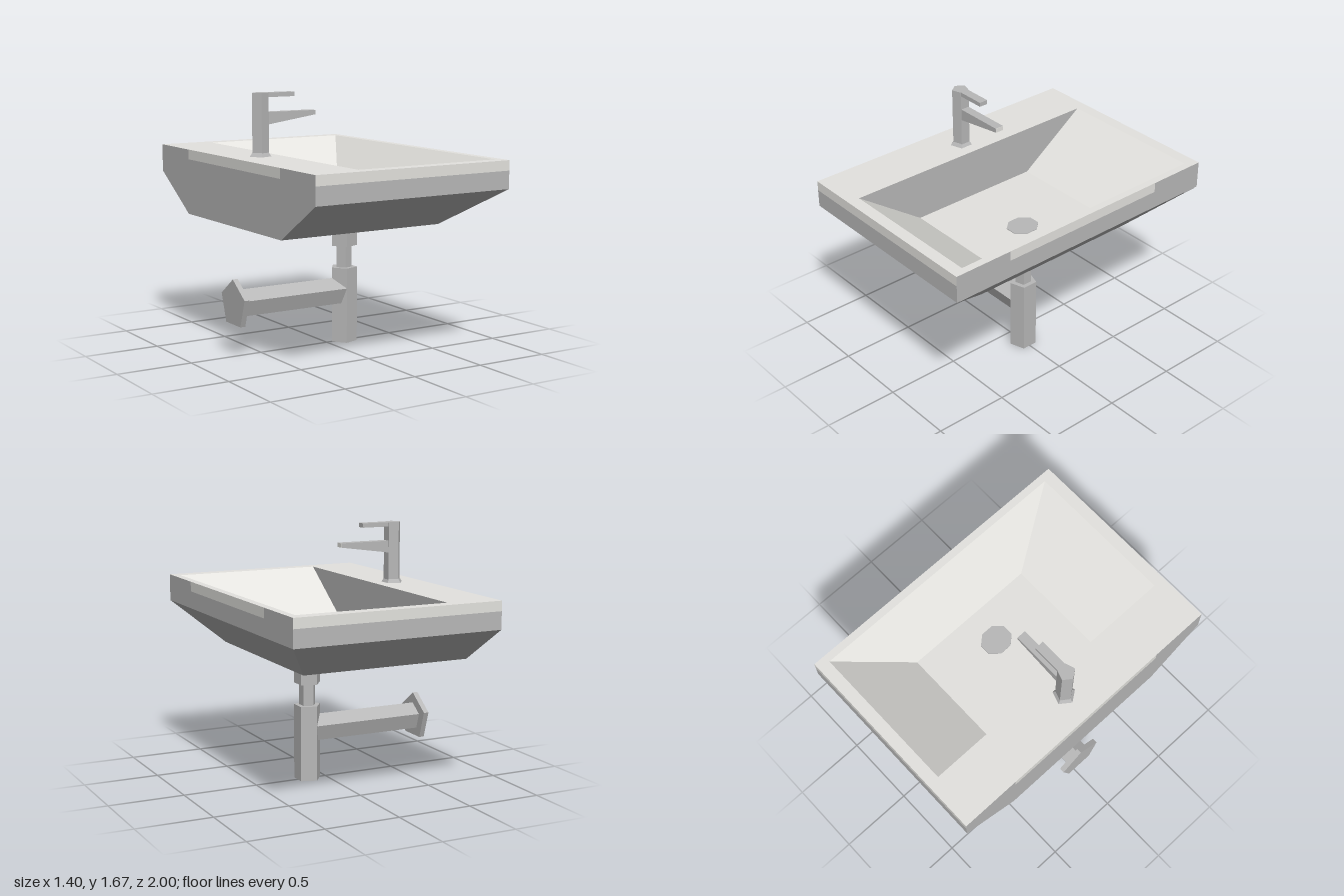
import * as THREE from 'three';

// Rectangular ring of corners: front left, front right, back right, back left (seen from above)
const ring = (x0, x1, z, y) => [[x0, y, z], [x1, y, z], [x1, y, -z], [x0, y, -z]];
const lerp = (a, b, t) => a.map((v, k) => v + (b[k] - v) * t);

// Quad on side i between a lower (or outer) ring a and the next ring b, cut from s to t along its length
function side(a, b, i, s = 0, t = 1) {
  const j = (i + 1) % 4;
  return [lerp(a[i], a[j], s), lerp(a[i], a[j], t), lerp(b[i], b[j], t), lerp(b[i], b[j], s)];
}

function quads(list) {
  const pos = [];
  for (const [a, b, c, d] of list) pos.push(...a, ...b, ...c, ...a, ...c, ...d);
  const g = new THREE.BufferGeometry();
  g.setAttribute('position', new THREE.Float32BufferAttribute(pos, 3));
  g.computeVertexNormals();
  return g;
}

export function createModel() {
  const model = new THREE.Group();
  model.name = 'washbasin';
  const ceramic = new THREE.MeshStandardMaterial({ color: 0xe4e3df, flatShading: true });
  ceramic.name = 'white ceramic';
  const grey = new THREE.MeshStandardMaterial({ color: 0xb8b8b8, flatShading: true });
  grey.name = 'grey metal';

  const add = (name, geometry, material, parent = model) => {
    const m = new THREE.Mesh(geometry, material);
    m.name = name;
    parent.add(m);
    return m;
  };

  // Five-sided tube along y, one corner pointing to -x
  const penta = (rTop, rBottom, y0, y1) =>
    new THREE.CylinderGeometry(rTop, rBottom, y1 - y0, 5, 1, false, -Math.PI / 2).translate(0, (y0 + y1) / 2, 0);

  // Basin, built from rings running from the underside over the rim to the bowl floor
  const basin = new THREE.Group();
  basin.name = 'basin';
  model.add(basin);
  const bottom = ring(-0.7, 0.45, 0.61, 0.84);
  const shoulder = ring(-0.7, 0.7, 1, 1.09);
  const band = ring(-0.7, 0.7, 1, 1.205);
  const top = ring(-0.7, 0.7, 1, 1.27);
  const mouth = ring(-0.36, 0.65, 0.92, 1.27);
  const floor = ring(-0.36, 0.38, 0.46, 0.94);

  const under = [[...bottom].reverse()], edge = [], rim = [], bowl = [floor];
  for (let i = 0; i < 4; i++) {
    under.push(side(bottom, shoulder, i));
    under.push(side(shoulder, band, i));
    // The white edge is shorter on the two long sides
    if (i % 2) {
      under.push(side(band, top, i, 0, 0.2), side(band, top, i, 0.8, 1));
      edge.push(side(band, top, i, 0.2, 0.8));
    } else edge.push(side(band, top, i));
    rim.push(side(top, mouth, i));
    if (i < 3) bowl.push(side(mouth, floor, i));
  }
  add('basinUnderside', quads(under), grey, basin);
  add('basinEdge', quads(edge), ceramic, basin);
  add('basinRim', quads(rim), ceramic, basin);
  add('bowl', quads(bowl), ceramic, basin);
  add('bowlBackWall', quads([side(mouth, floor, 3)]), grey, basin);

  // Drain plate
  const drain = add('drain', new THREE.CylinderGeometry(0.098, 0.098, 0.004, 8, 1, false, Math.PI / 8), grey);
  drain.scale.z = 1.12;
  drain.position.set(0.145, 0.942, 0.02);

  // Faucet
  const faucet = new THREE.Group();
  faucet.name = 'faucet';
  model.add(faucet);
  add('faucetBase', penta(0.056, 0.073, 1.27, 1.295), grey, faucet).position.x = -0.497;
  add('faucetColumn', penta(0.056, 0.056, 1.29, 1.67), grey, faucet).position.x = -0.495;
  add('faucetLever', new THREE.BoxGeometry(0.2, 0.028, 0.06).translate(-0.36, 1.656, 0), grey, faucet);
  const profile = new THREE.Shape([[-0.47, 1.468], [-0.105, 1.52], [-0.105, 1.548], [-0.47, 1.548]]
    .map(([x, y]) => new THREE.Vector2(x, y)));
  add('spout', new THREE.ExtrudeGeometry(profile, { depth: 0.06, bevelEnabled: false }).translate(0, 0, -0.03), grey, faucet);
  add('spoutTip', new THREE.BoxGeometry(0.002, 0.028, 0.06).translate(-0.104, 1.534, 0), ceramic, faucet);

  // Drain trap below the basin
  const trap = new THREE.Group();
  trap.name = 'trap';
  model.add(trap);
  const tubes = [['tailpiece', 0.09, 0.645, 0.845], ['neck', 0.055, 0.49, 0.65], ['trapBody', 0.09, 0, 0.5]];
  for (const [name, r, y0, y1] of tubes) add(name, penta(r, r, y0, y1), grey, trap).position.x = 0.13;

  // Outlet pipe and wall flange, lying along x
  for (const [name, r, x0, x1] of [['outletPipe', 0.091, -0.68, 0.1], ['wallFlange', 0.161, -0.7, -0.665]])
    add(name, penta(r, r, x0, x1).rotateZ(-Math.PI / 2), grey, trap).position.y = 0.339;

  return model;
}
